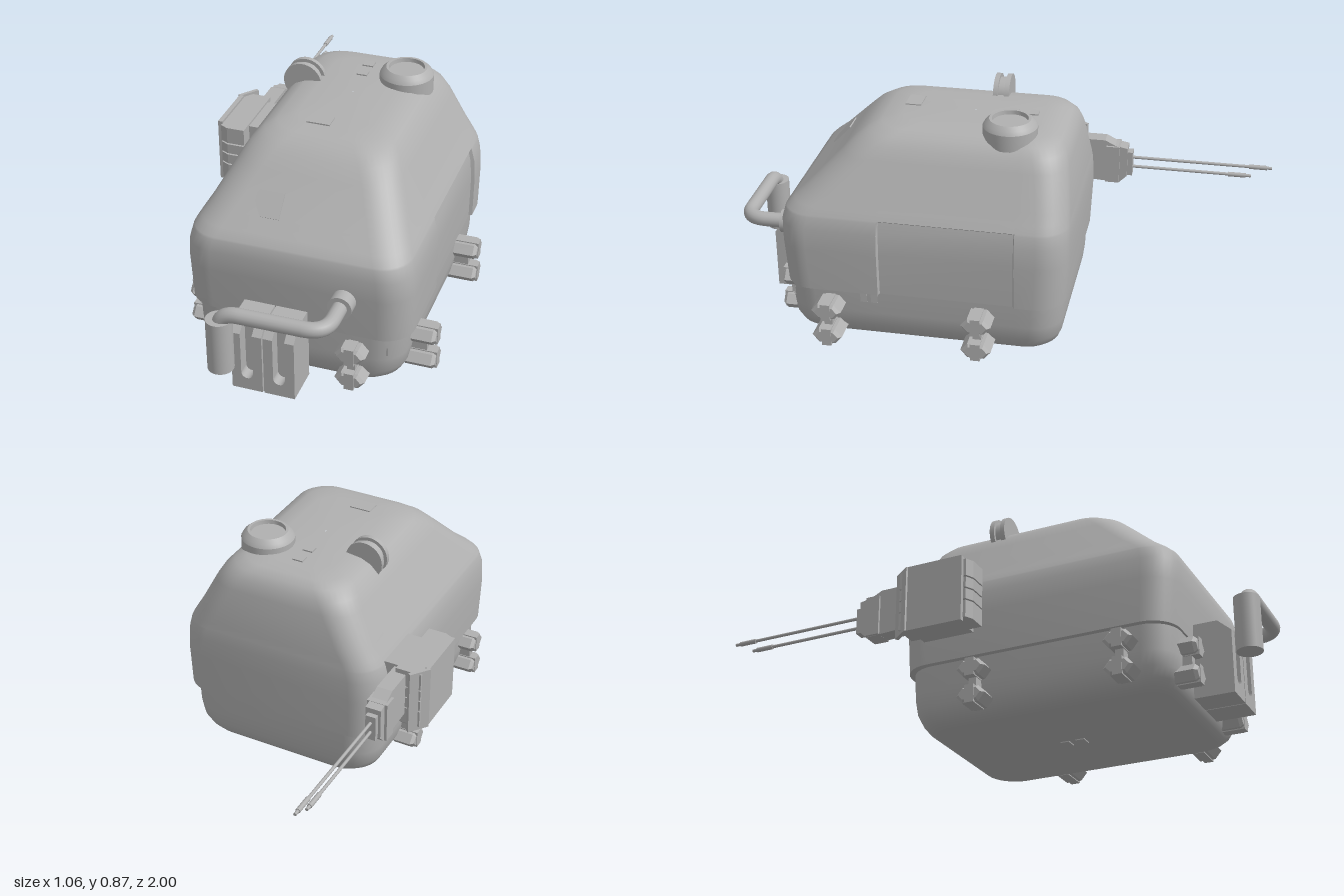
import * as THREE from 'three';
import { toCreasedNormals } from 'three/addons/utils/BufferGeometryUtils.js';

const CX = 0.045; // body centre line
const grey = new THREE.MeshStandardMaterial({ color: 0xb0b0b0 });
grey.name = 'hull grey';

function add(parent, name, geo, x = 0, y = 0, z = 0) {
  const m = new THREE.Mesh(geo, grey);
  m.name = name;
  m.position.set(x, y, z);
  parent.add(m);
  return m;
}
const box = (w, h, d) => new THREE.BoxGeometry(w, h, d);
const poly = pts => new THREE.Shape(pts.map(p => new THREE.Vector2(p[0], p[1])));

// Rounded rectangle ring: half width, front z, back z, corner radius
function ring([y, hw, zf, zb, r], recess) {
  const pts = [], N = 8;
  const corner = (cx, cz, a0) => {
    for (let i = 0; i <= N; i++) {
      const a = a0 + (i / N) * Math.PI / 2;
      pts.push([CX + cx + r * Math.cos(a), y, cz + r * Math.sin(a)]);
    }
  };
  corner(hw - r, zf - r, 0);
  corner(-hw + r, zf - r, Math.PI / 2);
  corner(-hw + r, zb + r, Math.PI);
  corner(hw - r, zb + r, Math.PI * 1.5);
  // extra points on the left side carry the recessed door opening
  [-0.125, -0.12, 0.375, 0.38].forEach((z, i) => {
    const inside = recess && y < 0.53 && (i === 1 || i === 2);
    pts.push([CX + hw - (inside ? 0.013 : 0), y, THREE.MathUtils.clamp(z, zb + r, zf - r)]);
  });
  return pts;
}

function loft(rows, recess = false) {
  const rings = rows.map(r => ring(r, recess)), n = rings[0].length, idx = [];
  for (let i = 0; i < rings.length - 1; i++) {
    for (let j = 0; j < n; j++) {
      const a = i * n + j, b = i * n + (j + 1) % n, c = a + n, d = b + n;
      idx.push(a, c, b, b, c, d);
    }
  }
  const g = new THREE.BufferGeometry();
  g.setAttribute('position', new THREE.Float32BufferAttribute(rings.flat(2), 3));
  g.setIndex(idx);
  return toCreasedNormals(g, 0.6);
}

// Clamp facing +z: two hexagonal lugs joined by a waist and collars
function clamp(parent, x, y, z, turn, depth) {
  const g = new THREE.Group();
  g.name = 'clamp';
  g.position.set(x, y, z);
  g.rotation.y = turn;
  const hex = poly([[-0.043, 0], [-0.026, -0.02], [0.026, -0.02], [0.043, 0], [0.026, 0.02], [-0.026, 0.02]]);
  for (const s of [-1, 1]) {
    const lug = new THREE.ExtrudeGeometry(hex, {
      depth: depth + 0.008, bevelEnabled: true, bevelSize: 0.01, bevelThickness: 0.012, bevelSegments: 1
    });
    add(g, 'clampLug', lug, 0, s * 0.052, -0.02);
    add(g, 'clampCollar', box(0.036, 0.068, depth + 0.02), 0, s * 0.052, depth / 2 - 0.008);
  }
  add(g, 'clampWaist', box(0.03, 0.12, depth * 0.6 + 0.02), 0, 0, depth * 0.3 - 0.01);
  parent.add(g);
}

export function createModel() {
  const root = new THREE.Group();
  root.name = 'pod';

  // Lower tub and overhanging upper shell
  add(root, 'lowerTub', loft([
    [0.012, 0.001, 0.2, 0.19, 0.001], [0.012, 0.28, 0.66, -0.2, 0.09], [0.016, 0.31, 0.685, -0.232, 0.1],
    [0.028, 0.338, 0.705, -0.255, 0.11], [0.05, 0.362, 0.72, -0.27, 0.11], [0.085, 0.38, 0.732, -0.283, 0.11],
    [0.14, 0.388, 0.736, -0.29, 0.11], [0.26, 0.392, 0.738, -0.294, 0.11]
  ]));
  add(root, 'upperShell', loft([
    [0.235, 0.385, 0.725, -0.285, 0.11], [0.235, 0.413, 0.745, -0.304, 0.11], [0.4, 0.416, 0.756, -0.312, 0.11],
    [0.48, 0.411, 0.757, -0.311, 0.11], [0.525, 0.4, 0.746, -0.309, 0.11], [0.532, 0.397, 0.742, -0.308, 0.11],
    [0.56, 0.381, 0.715, -0.306, 0.11], [0.6, 0.357, 0.668, -0.302, 0.11], [0.72, 0.295, 0.55, -0.286, 0.11],
    [0.765, 0.268, 0.505, -0.272, 0.11], [0.795, 0.238, 0.462, -0.25, 0.11], [0.812, 0.2, 0.42, -0.22, 0.1],
    [0.82, 0.14, 0.35, -0.16, 0.08], [0.82, 0.001, 0.1, 0.09, 0.001]
  ], true));

  // Round hatch with a recessed lid
  const hatch = [[0.1, 0.78], [0.1, 0.842], [0.092, 0.856], [0.076, 0.87], [0.066, 0.87], [0.064, 0.855], [0, 0.855]];
  add(root, 'roofHatch', toCreasedNormals(
    new THREE.LatheGeometry(hatch.map(p => new THREE.Vector2(...p)), 40), 0.5), 0.2, 0, -0.065);

  // Grooved roof wheel
  for (const [r, t, z] of [[0.073, 0.018, 0.005], [0.073, 0.018, 0.048], [0.06, 0.04, 0.026]]) {
    add(root, 'roofWheel', new THREE.CylinderGeometry(r, r, t, 40).rotateX(Math.PI / 2), -0.165, 0.805, z);
  }

  // Front pipe, its boss and the hanging canister
  const pipe = new THREE.CurvePath();
  const V = (x, y, z) => new THREE.Vector3(x, y, z);
  pipe.add(new THREE.LineCurve3(V(0.235, 0.385, 0.74), V(0.235, 0.385, 0.87)));
  pipe.add(new THREE.QuadraticBezierCurve3(V(0.235, 0.385, 0.87), V(0.235, 0.385, 0.95), V(0.155, 0.385, 0.95)));
  pipe.add(new THREE.LineCurve3(V(0.155, 0.385, 0.95), V(-0.07, 0.385, 0.952)));
  pipe.add(new THREE.QuadraticBezierCurve3(V(-0.07, 0.385, 0.952), V(-0.145, 0.385, 0.952), V(-0.145, 0.32, 0.952)));
  add(root, 'frontPipe', new THREE.TubeGeometry(pipe, 60, 0.028, 16));
  add(root, 'pipeBoss', new THREE.CylinderGeometry(0.044, 0.044, 0.07, 28).rotateX(Math.PI / 2), 0.235, 0.385, 0.77);
  add(root, 'canister', new THREE.CylinderGeometry(0.047, 0.047, 0.205, 32), -0.145, 0.255, 0.952);

  // Twin front pods with slotted faces and a chamfered top edge
  for (const s of [-1, 1]) {
    const face = poly([[-0.057, 0], [0.057, 0], [0.057, 0.28], [0.022, 0.28], [0.022, 0.07]]);
    face.absarc(0, 0.07, 0.022, 0, -Math.PI, true);
    face.lineTo(-0.022, 0.28);
    face.lineTo(-0.057, 0.28);
    const g = new THREE.ExtrudeGeometry(face, { depth: 0.05, bevelEnabled: false });
    const p = g.attributes.position;
    for (let i = 0; i < p.count; i++) {
      if (p.getZ(i) > 0.04 && p.getY(i) > 0.27) p.setY(i, 0.235);
    }
    g.computeVertexNormals();
    add(root, 'frontPodFace', g, -0.0175 + s * 0.0595, 0.02, 0.837);
    add(root, 'frontPodBlock', box(0.114, 0.28, 0.1), -0.0175 + s * 0.0595, 0.16, 0.79);
  }

  // Clamps on the front and both sides
  for (const x of [-0.21, 0.265]) clamp(root, x, 0.123, 0.73, 0, 0.066);
  for (const z of [0.565, 0.005]) {
    clamp(root, 0.43, 0.123, z, Math.PI / 2, 0.092);
    clamp(root, -0.343, 0.123, z, -Math.PI / 2, 0.065);
  }

  // Side gun: mount, ribbed cells, chamfered housing and outer plate
  const gun = new THREE.Group();
  gun.name = 'sideGun';
  root.add(gun);
  add(gun, 'gunMount', box(0.07, 0.215, 0.2), -0.385, 0.432, -0.1);
  const plan = poly([[-0.51, -0.04], [-0.48, -0.055], [-0.41, -0.055], [-0.41, 0.23], [-0.51, 0.23]]);
  const cells = [[0.318, 0.066], [0.39, 0.04], [0.436, 0.04], [0.482, 0.066]];
  for (const [y, h] of cells) {
    add(gun, 'gunCell', new THREE.ExtrudeGeometry(plan, { depth: h, bevelEnabled: false }).rotateX(-Math.PI / 2), 0, y, 0);
  }
  add(gun, 'gunCore', box(0.085, 0.21, 0.25), -0.4625, 0.433, -0.1);
  add(gun, 'outerPlate', box(0.018, 0.255, 0.22), -0.517, 0.43, -0.08);
  const lip = add(gun, 'plateLip', box(0.014, 0.255, 0.085), -0.5, 0.43, -0.222);
  lip.rotation.y = -0.65;

  // Receiver wedge, breech and muzzle block
  const side = poly([[0.19, 0.36], [0.4, 0.35], [0.43, 0.38], [0.43, 0.5], [0.38, 0.51], [0.34, 0.53], [0.19, 0.53]]);
  const receiver = new THREE.ExtrudeGeometry(side, { depth: 0.06, bevelEnabled: false });
  add(gun, 'receiver', receiver.rotateY(Math.PI / 2), -0.45, 0, 0);
  add(gun, 'breech', box(0.08, 0.155, 0.055), -0.42, 0.43, -0.372);
  add(gun, 'muzzleBlock', box(0.04, 0.1, 0.05), -0.42, 0.43, -0.425);

  // Twin barrels with thicker tips
  for (const [y, end] of [[0.452, -1], [0.412, -0.92]]) {
    const rod = (r, z0, z1, name) => add(gun, name,
      new THREE.CylinderGeometry(r, r, z0 - z1, 12).rotateX(Math.PI / 2), -0.42, y, (z0 + z1) / 2);
    rod(0.006, -0.42, end, 'barrel');
    rod(0.009, end + 0.09, end + 0.02, 'barrelTip');
  }

  // Thin surface plates
  const hexPlate = poly([[-0.05, 0.0], [-0.02, -0.05], [0.05, -0.05], [0.05, 0.045], [-0.04, 0.045], [-0.05, 0.03]]);
  const front = add(root, 'slopePlate',
    new THREE.ExtrudeGeometry(hexPlate, { depth: 0.006, bevelEnabled: false }), -0.08, 0.635, 0.631);
  front.rotation.x = -0.77;
  add(root, 'roofFrontPlate', box(0.085, 0.012, 0.06), 0.005, 0.818, 0.33);
  for (const z of [-0.125, -0.05]) add(root, 'roofTab', box(0.04, 0.008, 0.035), 0.035, 0.821, z);
  for (const z of [0.4, 0.44]) add(root, 'sideTab', box(0.008, 0.035, 0.025), 0.434, 0.205, z);
  for (const z of [0.18, 0.24]) add(root, 'floorTab', box(0.045, 0.008, 0.035), 0.045, 0.012, z);
  add(root, 'frontTab', box(0.044, 0.032, 0.02), 0.362, 0.175, 0.712);
  return root;
}
